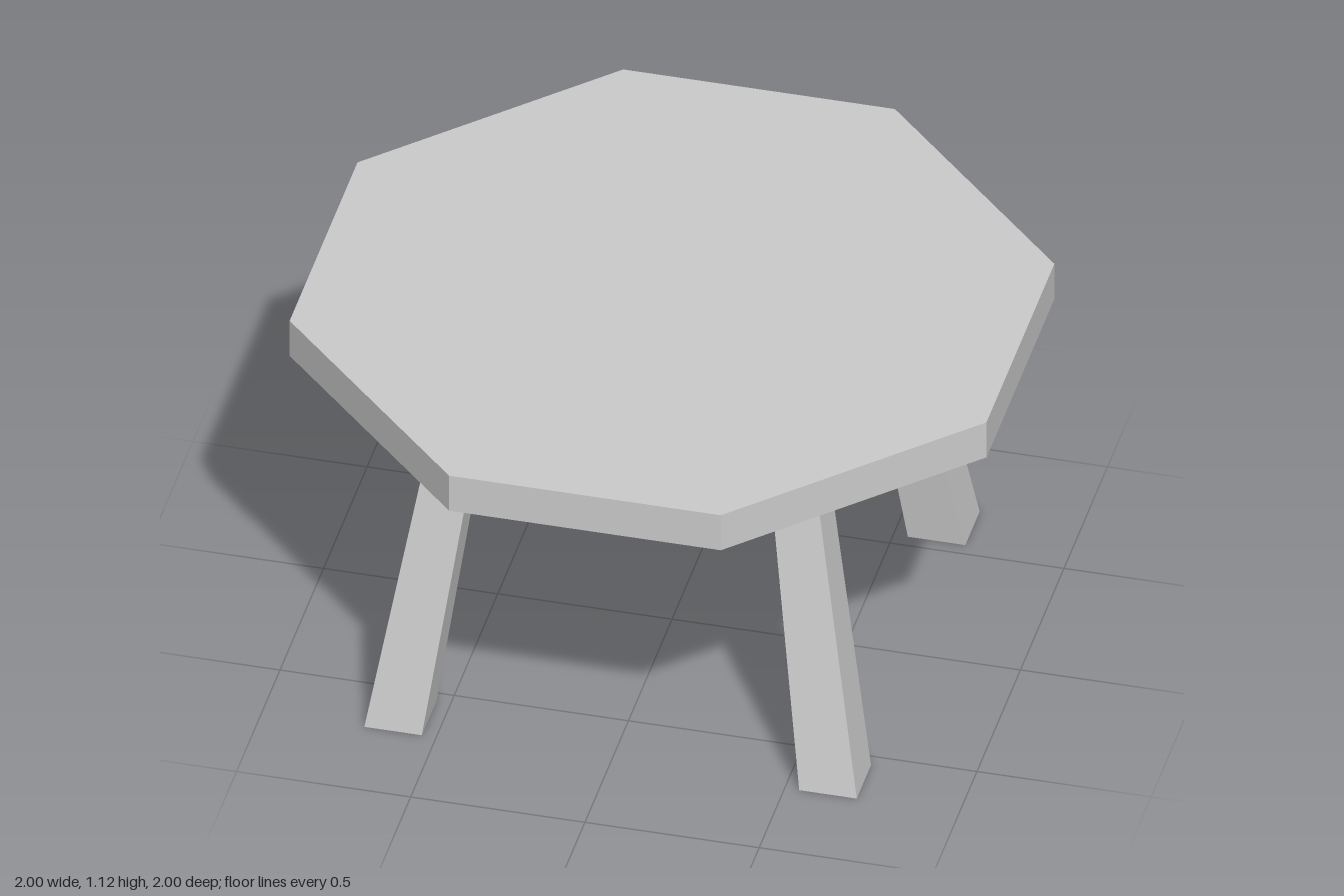
import * as THREE from 'three';

const TOP_Y = 1.0;
const TOP_THICKNESS = 0.12;

// Octagonal slab with straight edges
function makeTop(material) {
  const a = 1, b = 0.39;
  const corners = [[a, -b], [a, b], [b, a], [-b, a], [-a, b], [-a, -b], [-b, -a], [b, -a]];
  const shape = new THREE.Shape(corners.map(([x, y]) => new THREE.Vector2(x, y)));
  const geometry = new THREE.ExtrudeGeometry(shape, { depth: TOP_THICKNESS, bevelEnabled: false });
  geometry.rotateX(-Math.PI / 2);
  geometry.translate(0, TOP_Y, 0);
  const top = new THREE.Mesh(geometry, material);
  top.name = 'tableTop';
  return top;
}

// Square leg that splays outward and thickens toward the foot
function makeLeg(sx, sz, material) {
  const geometry = new THREE.BoxGeometry(1, TOP_Y, 1);
  geometry.translate(0, TOP_Y / 2, 0);
  const p = geometry.attributes.position;
  for (let i = 0; i < p.count; i++) {
    const t = p.getY(i) / TOP_Y;
    const offset = THREE.MathUtils.lerp(0.624, 0.475, t);
    const width = THREE.MathUtils.lerp(0.165, 0.13, t);
    p.setX(i, sx * offset + p.getX(i) * width);
    p.setZ(i, sz * offset + p.getZ(i) * width);
  }
  geometry.computeVertexNormals();
  const leg = new THREE.Mesh(geometry, material);
  leg.name = (sz > 0 ? 'front' : 'back') + (sx > 0 ? 'Left' : 'Right') + 'Leg';
  return leg;
}

export function createModel() {
  const material = new THREE.MeshStandardMaterial({ color: 0xcccccc, flatShading: true });
  const table = new THREE.Group();
  table.name = 'table';
  table.add(makeTop(material));
  for (const sx of [-1, 1]) {
    for (const sz of [-1, 1]) table.add(makeLeg(sx, sz, material));
  }
  return table;
}
